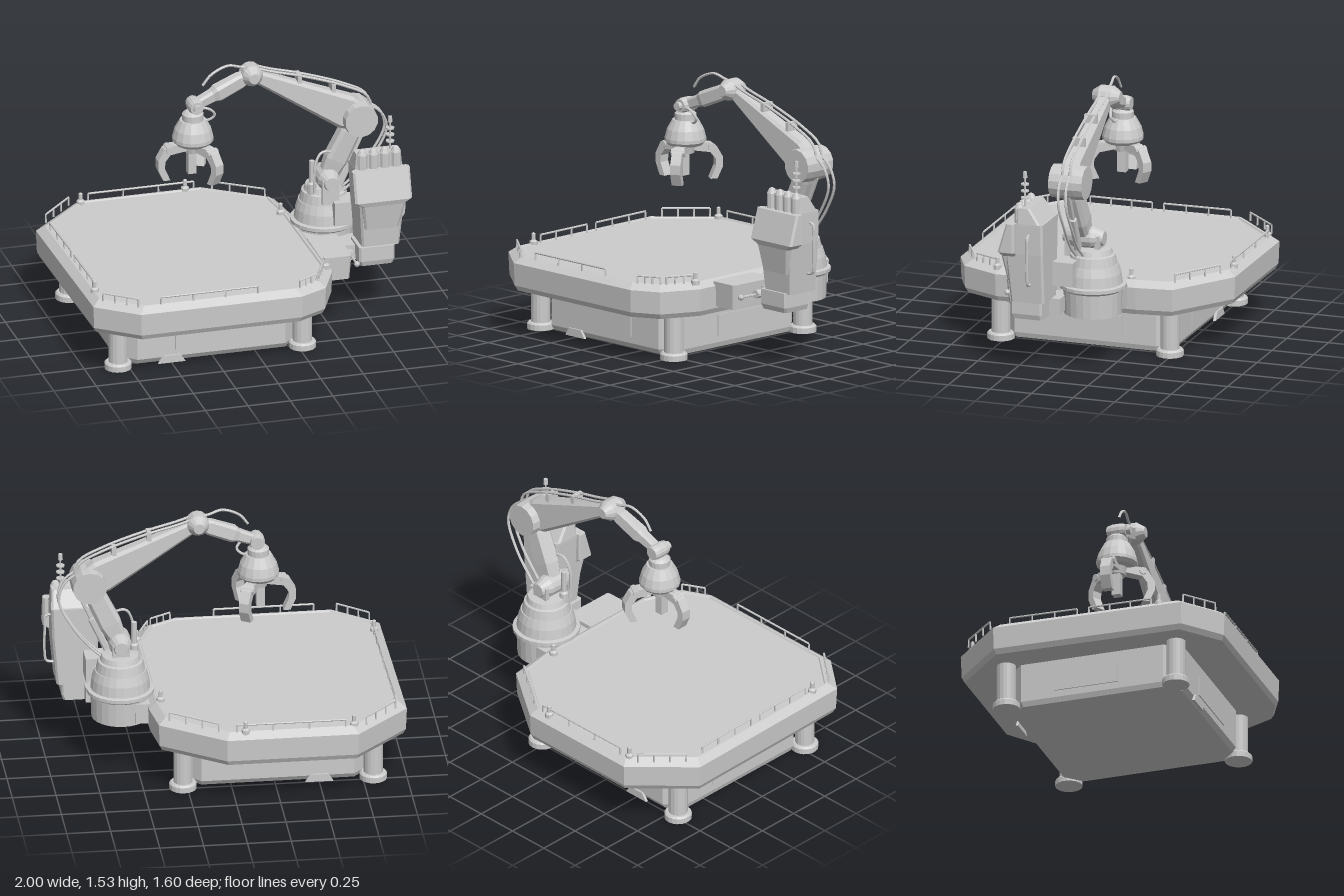
import * as THREE from 'three';

const flat = new THREE.MeshStandardMaterial({ color: 0xcccccc, flatShading: true });
const V = (x, y, z) => new THREE.Vector3(x, y, z);

function add(parent, name, geo, x = 0, y = 0, z = 0) {
  const m = new THREE.Mesh(geo, flat);
  m.name = name;
  m.position.set(x, y, z);
  parent.add(m);
  return m;
}

// Skin stacked convex rings (counter-clockwise from above) and cap both ends
function loft(rings) {
  const pos = [], n = rings[0].length, last = rings.length - 1;
  const tri = (a, b, c) => pos.push(...a.toArray(), ...b.toArray(), ...c.toArray());
  for (let i = 0; i < last; i++) for (let j = 0; j < n; j++) {
    const k = (j + 1) % n, lo = rings[i], hi = rings[i + 1];
    tri(lo[j], lo[k], hi[k]);
    tri(lo[j], hi[k], hi[j]);
  }
  for (let j = 1; j < n - 1; j++) {
    tri(rings[0][0], rings[0][j + 1], rings[0][j]);
    tri(rings[last][0], rings[last][j], rings[last][j + 1]);
  }
  const g = new THREE.BufferGeometry();
  g.setAttribute('position', new THREE.Float32BufferAttribute(pos, 3));
  g.computeVertexNormals();
  return g;
}

// Rectangle ring with cut corners
function ring(y, x0, x1, z0, z1, c = 0.012) {
  return [[x1, z1 - c], [x1, z0 + c], [x1 - c, z0], [x0 + c, z0],
    [x0, z0 + c], [x0, z1 - c], [x0 + c, z1], [x1 - c, z1]].map(p => V(p[0], y, p[1]));
}
const box = (p, name, x0, x1, y0, y1, z0, z1) =>
  add(p, name, new THREE.BoxGeometry(x1 - x0, y1 - y0, z1 - z0), (x0 + x1) / 2, (y0 + y1) / 2, (z0 + z1) / 2);
const cyl = (p, name, r0, r1, h, x, y, z, n = 16) =>
  add(p, name, new THREE.CylinderGeometry(r1, r0, h, n), x, y, z);
const lathe = (p, name, pts, x, z, n = 24) =>
  add(p, name, new THREE.LatheGeometry(pts.map(q => new THREE.Vector2(q[0], q[1])), n), x, 0, z);
const tube = (p, name, pts, r = 0.008, n = 24) =>
  add(p, name, new THREE.TubeGeometry(new THREE.CatmullRomCurve3(pts.map(q => V(...q))), n, r, 6));

// Tapered beam from a to b; sections are [t, half height, half depth]
function beam(p, name, a, b, sections) {
  const d = b.clone().sub(a), len = d.length();
  const m = add(p, name, loft(sections.map(([t, h, w]) => ring(t * len, -h, h, -w, w, Math.min(h, w) * 0.4))));
  m.position.copy(a);
  m.quaternion.setFromUnitVectors(V(0, 1, 0), d.normalize());
}

// Rotary joint lying along z, bulged in the middle
function joint(p, name, c, r, half, end) {
  const prof = [[0, -half], [r * end, -half], [r, -half * 0.45], [r, half * 0.45], [r * end, half], [0, half]];
  lathe(p, name, prof, 0, 0, 14).rotation.x = Math.PI / 2;
  p.children[p.children.length - 1].position.copy(c);
}

function platform(root) {
  const g = new THREE.Group();
  g.name = 'platform';
  root.add(g);
  const outline = [[0.46, 0.5], [0.45, -0.34], [0.42, -0.55], [0.06, -0.8], [-0.69, -0.8],
    [-1, -0.5], [-0.98, 0.62], [-0.75, 0.8], [0.2, 0.8], [0.36, 0.72]];
  const cx = -0.27;
  const at = (y, s) => outline.map(([x, z]) => V(cx + (x - cx) * (1 - s / 0.73), y, z * (1 - s / 0.8)));
  add(g, 'deck', loft([at(0.27, 0.02), at(0.3, 0.005), at(0.43, 0), at(0.465, 0.045), at(0.465, 0.055), at(0.457, 0.06)]));

  // Base box, service panels and lower lips
  add(g, 'base', loft([ring(0.01, -0.79, 0.26, -0.48, 0.53, 0.09), ring(0.04, -0.8, 0.27, -0.5, 0.55, 0.1),
    ring(0.29, -0.8, 0.27, -0.5, 0.55, 0.1)]));
  for (const z of [-0.503, 0.553]) {
    box(g, 'sidePanel', -0.48, -0.05, 0.08, 0.2, z - 0.003, z + 0.003);
    add(g, 'lowerLip', loft([ring(0.005, -0.58, -0.42, z - 0.008, z + 0.008, 0.002),
      ring(0.05, -0.55, -0.45, z - 0.008, z + 0.008, 0.002)]));
  }
  for (const x of [-0.803, 0.273]) box(g, 'endPanel', x - 0.003, x + 0.003, 0.08, 0.2, -0.2, 0.18);

  // Legs with round feet
  for (const x of [-0.81, 0.275]) for (const z of [-0.485, 0.53]) {
    cyl(g, 'leg', 0.055, 0.055, 0.27, x, 0.15, z);
    lathe(g, 'foot', [[0, 0], [0.078, 0], [0.078, 0.032], [0.068, 0.042], [0, 0.042]], x, z, 18);
  }

  // Rails: each runs between two deck points with bent ends and posts
  const rails = [[-0.62, -0.755, 0, -0.755], [0.1, -0.725, 0.36, -0.545], [-0.94, -0.42, -0.93, -0.02],
    [-0.93, 0.05, -0.925, 0.42], [-0.92, 0.61, -0.75, 0.745], [-0.62, 0.755, -0.05, 0.755],
    [0.2, 0.745, 0.32, 0.68], [0.34, 0.65, 0.405, 0.51], [-0.74, -0.735, -0.93, -0.54]];
  for (const [x0, z0, x1, z1] of rails) {
    const a = V(x0, 0.505, z0), b = V(x1, 0.505, z1), n = 3;
    add(g, 'rail', new THREE.TubeGeometry(new THREE.LineCurve3(a, b), 1, 0.006, 6));
    for (let i = 0; i <= n; i++) {
      const q = a.clone().lerp(b, i / n);
      cyl(g, 'railPost', 0.006, 0.005, 0.05, q.x, 0.48, q.z, 6);
    }
  }
  // Marker lamps at the deck corners
  for (const [x, z] of [[-0.67, -0.735], [-0.05, -0.755], [-0.93, 0.47], [0.42, 0.5], [0.38, -0.29]])
    lathe(g, 'markerLamp', [[0, 0.45], [0.024, 0.45], [0.024, 0.475], [0.012, 0.485], [0.012, 0.52], [0, 0.528]], x, z, 8);
}

function tower(root) {
  const g = new THREE.Group();
  g.name = 'powerUnit';
  root.add(g);
  add(g, 'body', loft([ring(0.43, 0.71, 0.93, 0.04, 0.24), ring(0.72, 0.69, 0.955, 0.04, 0.265), ring(0.9, 0.68, 0.96, 0.04, 0.23)]));
  add(g, 'frontPlate', loft([ring(0.55, 0.72, 0.92, 0.2, 0.265), ring(0.7, 0.7, 0.95, 0.2, 0.29),
    ring(0.73, 0.655, 0.99, 0.2, 0.3), ring(0.9, 0.655, 0.99, 0.2, 0.25)]));
  add(g, 'lowerBox', loft([ring(0.32, 0.7, 0.89, 0.065, 0.245), ring(0.35, 0.69, 0.9, 0.065, 0.255), ring(0.435, 0.69, 0.9, 0.065, 0.255)]));
  add(g, 'topHousing', loft([ring(0.89, 0.68, 0.96, 0.05, 0.2), ring(0.99, 0.69, 0.95, 0.12, 0.2)]));
  for (let i = 0; i < 4; i++)
    lathe(g, 'canister', [[0, 0.88], [0.03, 0.88], [0.03, 0.985], [0.018, 1.01], [0, 1.02]], 0.723 + i * 0.066, 0.19, 10);
  tube(g, 'sidePipe', [[0.94, 0.84, 0.12], [0.985, 0.83, 0.12], [0.99, 0.75, 0.12], [0.99, 0.6, 0.12], [0.98, 0.55, 0.12], [0.93, 0.54, 0.12]]);
  // Mast with stacked discs
  cyl(g, 'mast', 0.007, 0.005, 0.24, 0.895, 1.07, 0.165, 6);
  for (const y of [1.04, 1.08, 1.12]) cyl(g, 'mastDisc', 0.025, 0.025, 0.008, 0.895, y, 0.165, 8);
  cyl(g, 'mastTip', 0.014, 0.012, 0.035, 0.895, 1.175, 0.165, 8);
  // Brackets and the side box that carries the unit
  box(g, 'bracket', 0.6, 0.78, 0.5, 0.64, -0.08, 0.06);
  box(g, 'lowerBracket', 0.55, 0.77, 0.33, 0.42, 0.0, 0.16);
  add(g, 'sideBox', loft([ring(0.31, 0.43, 0.6, 0.06, 0.37), ring(0.455, 0.43, 0.61, 0.06, 0.38)]));
  cyl(g, 'sideStub', 0.025, 0.025, 0.05, 0.645, 0.39, 0.22, 10).rotation.x = Math.PI / 2;
  cyl(g, 'sideRod', 0.007, 0.007, 0.22, 0.645, 0.39, 0.25, 6).rotation.x = Math.PI / 2;
  add(g, 'sideKnob', new THREE.SphereGeometry(0.017, 8, 6), 0.645, 0.39, 0.36);
}

function arm(root) {
  const g = new THREE.Group();
  g.name = 'craneArm';
  root.add(g);
  const zc = -0.06, shoulder = V(0.59, 0.75, -0.085), elbow = V(0.765, 1.12, zc);
  const knee = V(0.14, 1.45, zc), wrist = V(-0.2, 1.31, -0.03);

  // Turret and its mount on the platform edge
  lathe(g, 'turret', [[0, 0.31], [0.165, 0.31], [0.17, 0.45], [0.192, 0.465], [0.192, 0.485], [0.17, 0.49],
    [0.162, 0.55], [0.146, 0.6], [0.14, 0.6], [0.128, 0.655], [0.115, 0.66], [0.105, 0.69], [0, 0.7]], 0.59, -0.135);
  box(g, 'turretMount', 0.38, 0.52, 0.32, 0.44, -0.29, 0.05);
  for (const z of [-0.175, 0.005]) box(g, 'shoulderCheek', 0.54, 0.64, 0.62, 0.77, z - 0.015, z + 0.015);
  lathe(g, 'exhaust', [[0, 0.6], [0.026, 0.6], [0.026, 0.72], [0.016, 0.73], [0.016, 0.86], [0, 0.865]], 0.505, -0.08, 10);

  // Links and joints
  joint(g, 'shoulderJoint', shoulder, 0.065, 0.12, 0.6);
  beam(g, 'lowerArm', shoulder, elbow, [[0, 0.045, 0.04], [0.3, 0.065, 0.05], [0.75, 0.06, 0.05], [1, 0.05, 0.045]]);
  beam(g, 'lowerPiston', V(0.66, 0.7, -0.07), V(0.82, 1.05, -0.07), [[0, 0.02, 0.02], [0.55, 0.02, 0.02], [0.56, 0.011, 0.011], [1, 0.011, 0.011]]);
  joint(g, 'elbowJoint', elbow, 0.1, 0.1, 0.96);
  beam(g, 'upperArm', elbow, knee, [[0, 0.085, 0.055], [0.12, 0.1, 0.05], [0.9, 0.04, 0.035], [1, 0.03, 0.03]]);
  beam(g, 'upperArmRib', V(0.68, 1.09, zc), V(0.3, 1.32, zc), [[0, 0.015, 0.02], [1, 0.01, 0.015]]);
  joint(g, 'kneeJoint', knee, 0.062, 0.082, 0.5);
  beam(g, 'forearm', knee, wrist, [[0, 0.025, 0.03], [0.2, 0.045, 0.035], [0.6, 0.047, 0.04], [0.68, 0.036, 0.032], [1, 0.03, 0.03]]);
  joint(g, 'wristJoint', wrist, 0.045, 0.055, 0.85);
  cyl(g, 'wristCap', 0.024, 0.024, 0.03, -0.2, 1.31, 0.035, 10).rotation.x = Math.PI / 2;

  // Hoses along the arm
  tube(g, 'forearmHose', [[-0.15, 1.42, -0.04], [-0.1, 1.48, -0.04], [0, 1.52, -0.05], [0.08, 1.5, -0.06], [0.14, 1.49, -0.06]]);
  for (const z of [-0.085, -0.04]) {
    tube(g, 'upperHose', [[0.14, 1.5, z], [0.25, 1.46, z], [0.43, 1.41, z], [0.68, 1.32, z], [0.82, 1.24, z], [0.85, 1.14, z]]);
    tube(g, 'elbowHose', [[0.8, 1.2, z], [0.9, 1.13, z], [0.935, 1.02, z - 0.01], [0.86, 0.86, z - 0.02], [0.76, 0.73, z - 0.02], [0.66, 0.64, z - 0.03]]);
  }
  for (const [x, y] of [[0.42, 1.4], [0.62, 1.32]]) box(g, 'hoseClip', x - 0.012, x + 0.012, y - 0.03, y + 0.02, -0.1, -0.025);
  tube(g, 'shoulderHose', [[0.505, 0.68, -0.03], [0.51, 0.85, -0.03], [0.55, 0.92, -0.04], [0.62, 0.91, -0.05], [0.66, 0.86, -0.06]]);
  tube(g, 'wristHose', [[-0.18, 1.31, 0.01], [-0.12, 1.29, 0.01], [-0.09, 1.25, 0], [-0.12, 1.22, -0.01], [-0.16, 1.22, -0.02]]);

  // Gripper: domed hub, centre plunger and three claws
  const grip = new THREE.Group();
  grip.name = 'gripper';
  grip.position.set(-0.21, 0, -0.03);
  g.add(grip);
  lathe(grip, 'gripperHub', [[0, 1.03], [0.05, 1.03], [0.06, 1.075], [0.1, 1.08], [0.118, 1.1], [0.118, 1.12], [0.105, 1.17],
    [0.075, 1.225], [0.062, 1.225], [0.062, 1.26], [0.045, 1.275], [0, 1.29]], 0, 0, 16);
  box(grip, 'plunger', -0.035, 0.012, 0.9, 1.04, -0.02, 0.03);
  const claw = new THREE.Shape([[0.04, 1.085], [0.13, 1.085], [0.175, 1.065], [0.212, 1.0], [0.212, 0.945], [0.18, 0.875],
    [0.14, 0.875], [0.172, 0.95], [0.17, 0.99], [0.14, 1.03], [0.04, 1.045]].map(q => new THREE.Vector2(...q)));
  const clawGeo = new THREE.ExtrudeGeometry(claw, { depth: 0.06, bevelEnabled: false }).translate(0, 0, -0.03);
  for (let i = 0; i < 3; i++) {
    const a = Math.PI + i * Math.PI * 2 / 3;
    add(grip, 'claw', clawGeo).rotation.y = a;
    cyl(grip, 'clawPin', 0.022, 0.022, 0.08, 0.145 * Math.cos(a), 1.06, -0.145 * Math.sin(a), 8).rotation.set(Math.PI / 2, 0, -a);
  }
}

export function createModel() {
  const root = new THREE.Group();
  root.name = 'craneLandingPad';
  platform(root);
  tower(root);
  arm(root);
  return root;
}
